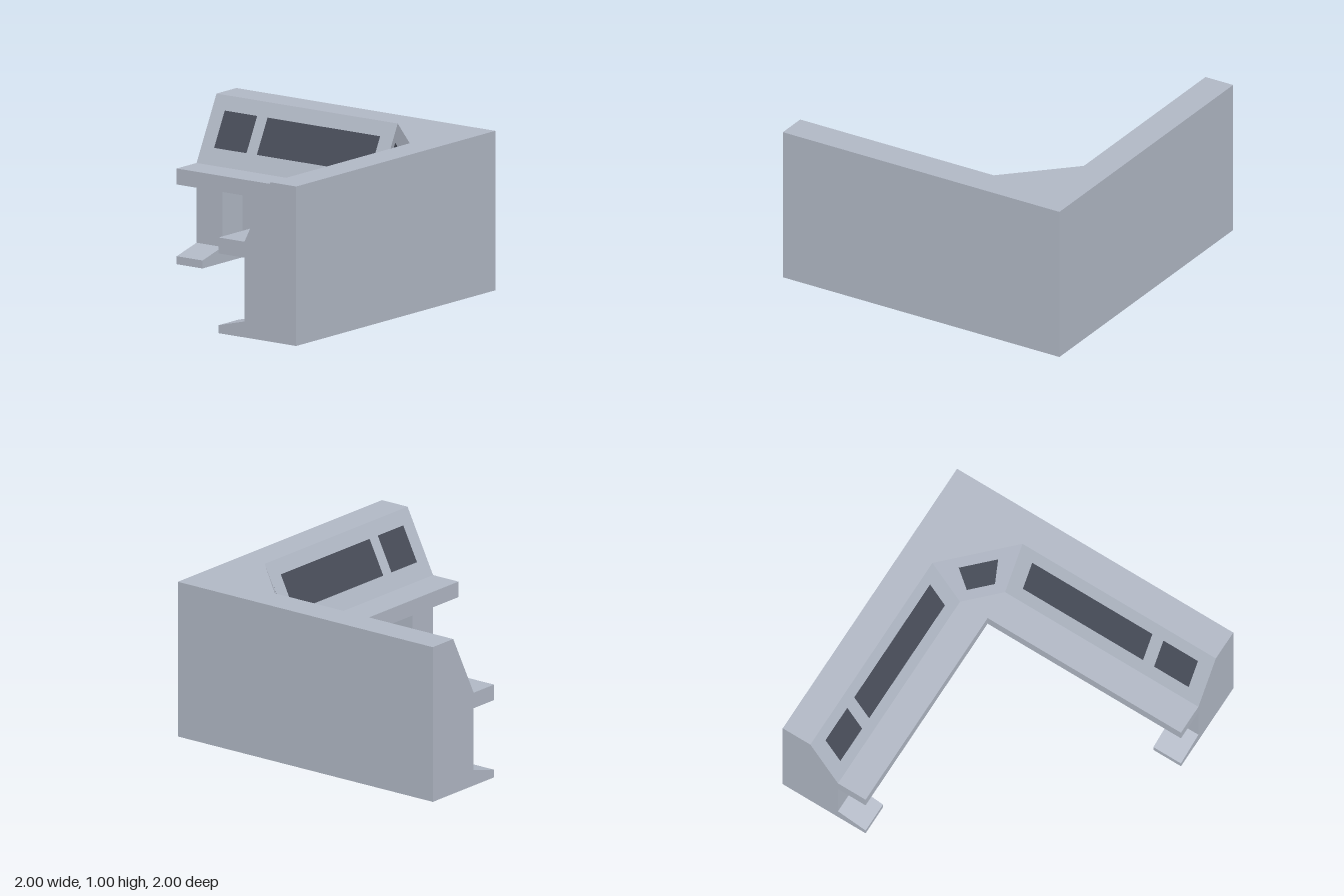
import * as THREE from 'three';

const body = new THREE.MeshStandardMaterial({ color: 0xb0b7c4 });
body.name = 'body grey';
const dark = new THREE.MeshStandardMaterial({ color: 0x474c58 });
dark.name = 'screen dark grey';

// Extrude a floor-plan outline of [x, z] points from y0 up to y1.
function planExtrude(points, y0, y1) {
  const shape = new THREE.Shape(points.map(([x, z]) => new THREE.Vector2(x, -z)));
  const geo = new THREE.ExtrudeGeometry(shape, { depth: y1 - y0, bevelEnabled: false });
  return geo.rotateX(-Math.PI / 2).translate(0, y0, 0);
}

// L-shaped plan following the back and left sides, with depth d.
const lPlan = (d) => [[-1, -1], [-1, d - 1], [1 - d, d - 1], [1 - d, 1], [1, 1], [1, -1]];

// Flat four-sided plate, corners counter-clockwise seen from its front.
function quad(points) {
  const geo = new THREE.BufferGeometry();
  geo.setAttribute('position', new THREE.Float32BufferAttribute(points.flat(), 3));
  geo.setIndex([0, 1, 2, 0, 2, 3]);
  geo.computeVertexNormals();
  return geo;
}

export function createModel() {
  const group = new THREE.Group();
  const add = (name, geo, mat) => {
    const mesh = new THREE.Mesh(geo, mat);
    mesh.name = name;
    group.add(mesh);
    return mesh;
  };

  // Lower wall and work surface
  add('lowerWall', planExtrude(lPlan(0.2), 0, 0.5), body);
  add('desk', planExtrude(lPlan(0.6), 0.5, 0.6), body);

  // Instrument housing: its front faces lean back towards the top
  const housing = planExtrude(
    [[-1, -1], [-1, -0.6], [0.4, -0.6], [0.6, -0.4], [0.6, 1], [1, 1], [1, -1]], 0.6, 1);
  const pos = housing.attributes.position;
  for (let i = 0; i < pos.count; i++) {
    if (pos.getY(i) < 0.9) continue;
    if (Math.abs(pos.getZ(i) + 0.6) < 1e-3) pos.setZ(i, -0.8);
    if (Math.abs(pos.getX(i) - 0.6) < 1e-3) pos.setX(i, 0.8);
  }
  housing.computeVertexNormals();
  add('instrumentHousing', housing, body);

  // End legs with sloping feet
  const profile = new THREE.Shape(
    [[0.8, 0], [0.8, 0.5], [0.6, 0.5], [0.6, 0.1], [0.4, 0.05], [0.4, 0]]
      .map(([x, y]) => new THREE.Vector2(x, y)));
  const legGeo = new THREE.ExtrudeGeometry(profile, { depth: 0.2, bevelEnabled: false });
  legGeo.translate(0, 0, 0.8);
  add('leftWingLeg', legGeo, body);
  const backLeg = add('backWingLeg', legGeo, body);
  backLeg.rotation.y = Math.PI / 2;
  backLeg.position.x = -1.8;

  // Screens on both wings, mirrored across the corner diagonal
  const lift = 0.004;
  const y0 = 0.7, y1 = 0.915;
  const zAt = (y) => -0.6 - (y - 0.6) / 2 + lift;
  for (const [name, x0, x1] of [['smallScreen', -0.9, -0.65], ['wideScreen', -0.57, 0.3]]) {
    const corners = [[x0, y0, zAt(y0)], [x1, y0, zAt(y0)], [x1, y1, zAt(y1)], [x0, y1, zAt(y1)]];
    add(name + 'Back', quad(corners), dark);
    add(name + 'Left', quad(corners.map(([x, y, z]) => [-z, y, -x]).reverse()), dark);
  }

  // Tapered screen on the corner panel
  const onCorner = (x, y) => [x - lift, y, x - 1 - (y - 0.6) / 2 + lift];
  add('cornerScreen', quad([
    onCorner(0.46, y0), onCorner(0.585, y0), onCorner(0.665, y1), onCorner(0.49, y1),
  ]), dark);

  return group;
}
